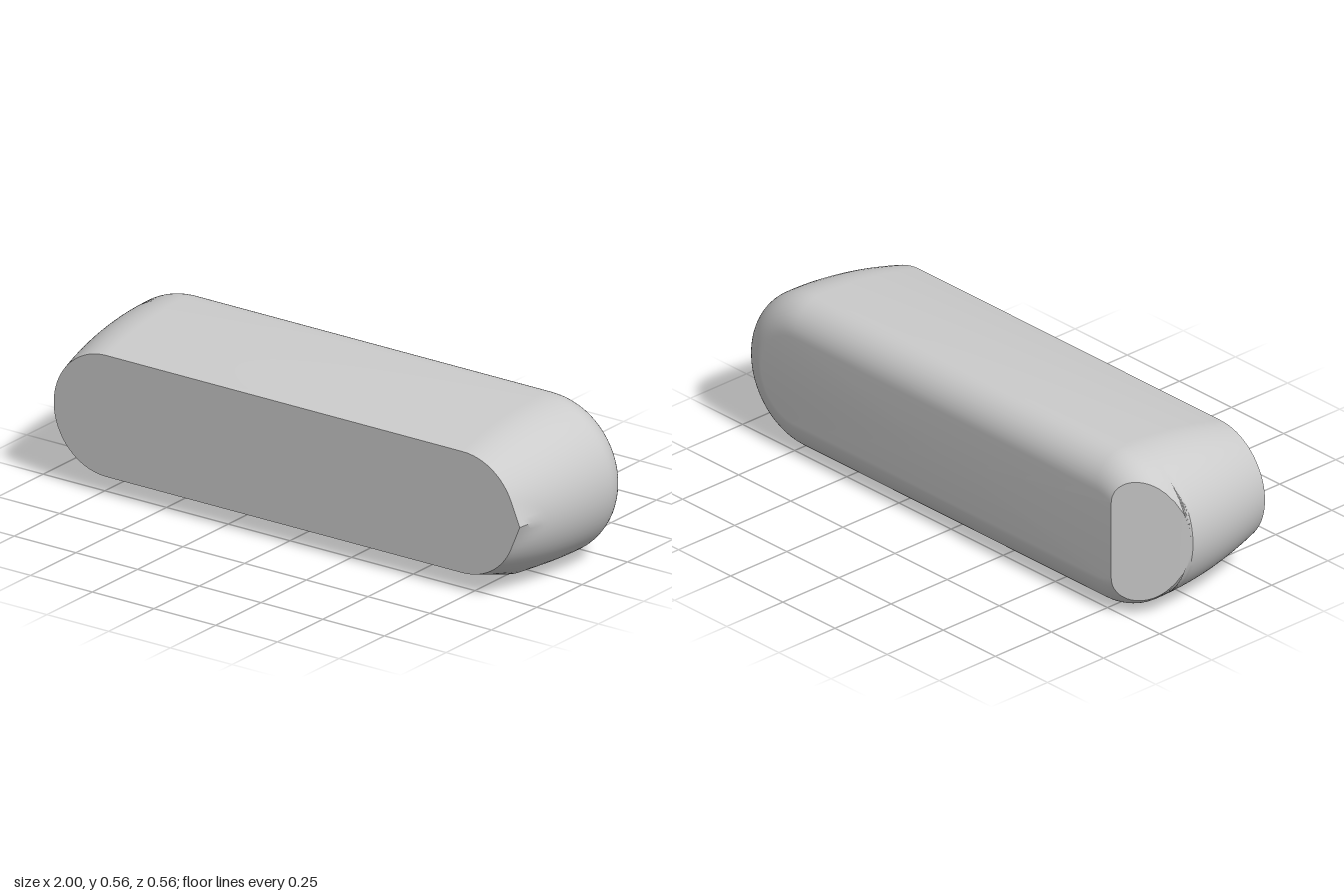
import * as THREE from 'three';
import { toCreasedNormals } from 'three/addons/utils/BufferGeometryUtils.js';

const RADIUS = 0.278, CAP_X = 0.722, ARC = 32;
const FRONT = 0.28, BACK = -0.28, BULGE = -0.16;

// inset of the outline at depth z: rounded back edge, gentle taper to the front
function inset(z) {
  if (z < BULGE) return 0.12 - Math.sqrt(Math.max(0, 0.0144 - (z - BULGE) ** 2));
  return 0.065 * ((z - BULGE) / (FRONT - BULGE)) ** 2;
}

// one counter-clockwise pill outline at depth z
function ring(z) {
  const d = inset(z), r = RADIUS - d, points = [];
  // the underside stays flat, then slopes up in a straight line
  const keel = z < BULGE ? 0 : d - Math.max(0, 0.065 * (z - 0.08) / 0.2);
  // the left end keeps a pointed ridge
  const tip = z < BULGE ? 0 : 1 - 0.047 * (z - BULGE) / (FRONT - BULGE) - CAP_X;
  const ridge = tip > r ? Math.acos(r / tip) : 0;
  // the slanted cut on the right end removes the middle of its arc
  const cutX = 0.8 + (z - BACK) / 0.18 * 0.2;
  const cut = Math.acos(Math.min(1, (cutX - CAP_X) / r));

  const arc = (from, to, side) => {
    for (let i = 0; i <= ARC; i++) {
      const a = from + (to - from) * i / ARC;
      const off = Math.abs(a);
      const rr = side > 0 && off < ridge ? r / Math.cos(ridge - off) : r;
      const s = Math.sin(a);
      const drop = s < 0 ? keel * s ** 12 : 0;
      points.push([side * CAP_X + rr * Math.cos(a), RADIUS + rr * s - drop, z]);
    }
  };
  arc(-Math.PI / 2, Math.PI / 2, 1);
  arc(Math.PI / 2, Math.PI - cut, -1);
  arc(Math.PI + cut, Math.PI * 1.5, -1);
  return points;
}

function bodyGeometry() {
  // dense steps round the back edge, even steps to the front
  const depths = [];
  for (let i = 0; i <= 14; i++) depths.push(BULGE - 0.12 * Math.cos(i / 14 * Math.PI / 2));
  for (let i = 1; i <= 22; i++) depths.push(BULGE + 0.02 * i);
  const rings = depths.map(ring), n = rings[0].length, last = rings.length - 1;

  const positions = rings.flat(2), index = [];
  for (let i = 0; i < last; i++) {
    for (let j = 0; j < n; j++) {
      const k = (j + 1) % n;
      const a = i * n + j, b = i * n + k, c = a + n, e = b + n;
      index.push(a, b, e, a, e, c);
    }
  }
  // flat back and front faces
  const centre = positions.length / 3;
  positions.push(0, RADIUS, BACK, 0, RADIUS, FRONT);
  for (let j = 0; j < n; j++) {
    const k = (j + 1) % n;
    index.push(centre, k, j, centre + 1, last * n + j, last * n + k);
  }
  const geometry = new THREE.BufferGeometry();
  geometry.setAttribute('position', new THREE.Float32BufferAttribute(positions, 3));
  geometry.setIndex(index);
  return toCreasedNormals(geometry, 0.6);
}

export function createModel() {
  const model = new THREE.Group();
  model.name = 'taperedPill';
  const body = new THREE.Mesh(bodyGeometry(), new THREE.MeshStandardMaterial({ color: 0xcccccc }));
  body.name = 'body';
  model.add(body);
  return model;
}
